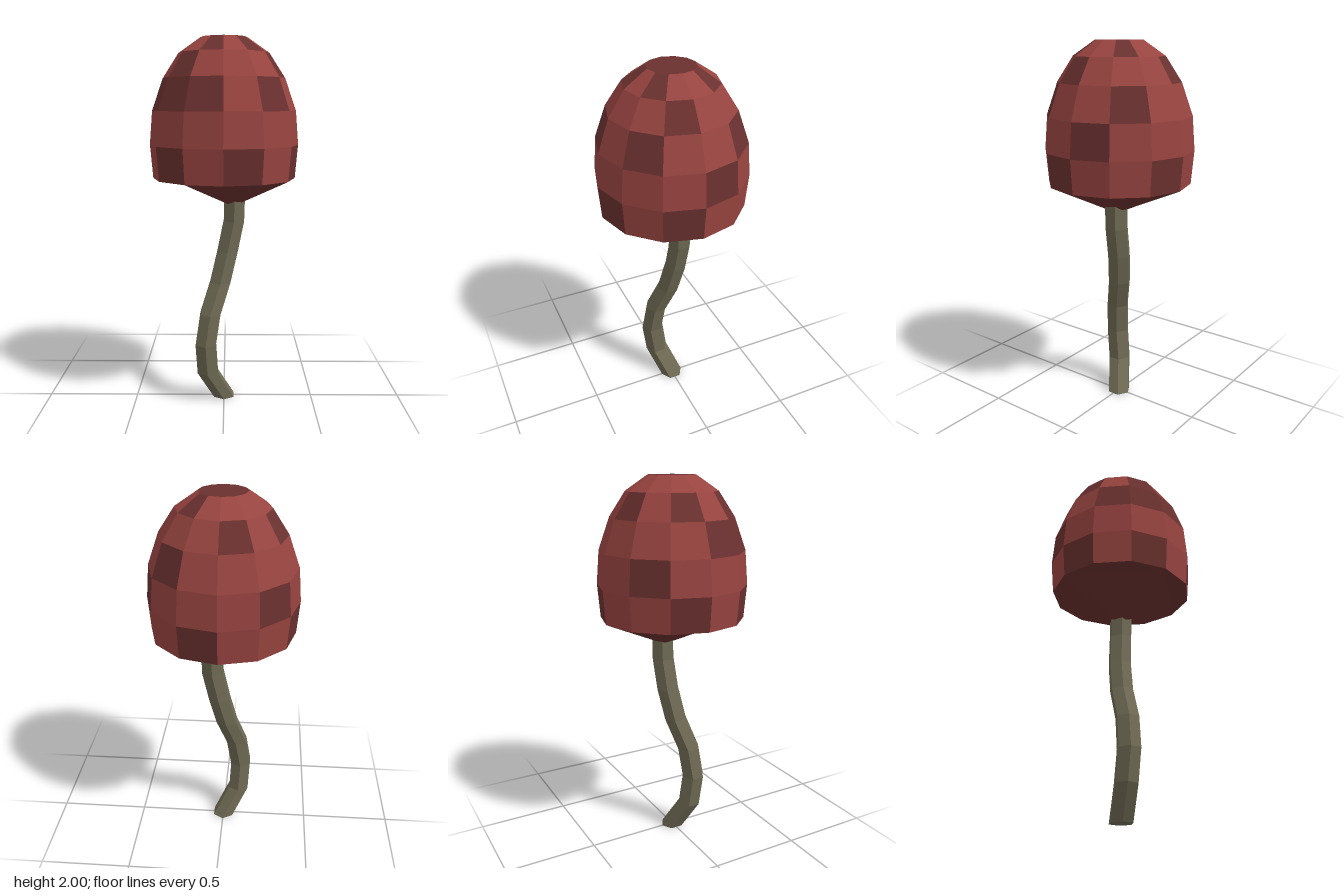
import * as THREE from 'three';

const SIDES = 12;
// Cap rings from top to rim: [radius, height]
const RINGS = [[0.124, 2], [0.24, 1.92], [0.325, 1.79], [0.385, 1.62], [0.4, 1.44], [0.385, 1.26]];
// Darker patches: ring rows per column, counted from +z towards +x
const DARK = [[4], [0, 2], [1, 4], [3], [0, 2], [4], [1], [3], [1, 4], [2], [1, 2, 4], [0, 2]];
// Centre line of the stem, evenly spaced in height: [x, z]
const STEM = [[0, 0], [-0.09, 0.063], [-0.1, 0.083], [-0.075, 0.065], [-0.02, 0.012], [0.02, -0.015], [0.055, -0.025], [0.06, -0.025]];
const STEM_HEIGHT = 1.19;

function material(color) {
  return new THREE.MeshStandardMaterial({ color, flatShading: true });
}

function ringPoint(row, column) {
  const [r, y] = RINGS[row];
  const a = (column / SIDES) * Math.PI * 2;
  return [r * Math.sin(a), y, r * Math.cos(a)];
}

function facets(name, points, mat) {
  const geo = new THREE.BufferGeometry();
  geo.setAttribute('position', new THREE.Float32BufferAttribute(points.flat(), 3));
  geo.computeVertexNormals();
  const mesh = new THREE.Mesh(geo, mat);
  mesh.name = name;
  return mesh;
}

function createCap() {
  const cap = new THREE.Group();
  cap.name = 'cap';
  const light = [], dark = [], top = [], under = [];

  // Domed wall, sorted into two tones
  for (let c = 0; c < SIDES; c++) {
    for (let row = 0; row < RINGS.length - 1; row++) {
      const a = ringPoint(row, c), b = ringPoint(row + 1, c);
      const d = ringPoint(row + 1, c + 1), e = ringPoint(row, c + 1);
      (DARK[c].includes(row) ? dark : light).push(a, b, d, a, d, e);
    }
    top.push([0, 2, 0], ringPoint(0, c), ringPoint(0, c + 1));
  }

  // Shallow faceted underside meeting the stem, with flat slivers at the rim
  const rim = RINGS.length - 1;
  const apex = [0.05, 1.1, -0.02];
  const corners = [2, 5, 6, 8, 11];
  corners.forEach((start, i) => {
    const end = corners[i + 1] ?? corners[0] + SIDES;
    under.push(apex, ringPoint(rim, end), ringPoint(rim, start));
    for (let c = start + 1; c < end; c++) {
      under.push(ringPoint(rim, start), ringPoint(rim, c + 1), ringPoint(rim, c));
    }
  });

  const red = material(0x984440), darkRed = material(0x6a312f);
  cap.add(
    facets('capWall', light, red),
    facets('capPatches', dark, darkRed),
    facets('capTop', top, darkRed),
    facets('capUnderside', under, darkRed)
  );
  return cap;
}

function createStem() {
  // Six-sided column with each level shifted along the bent centre line
  const steps = STEM.length - 1;
  const geo = new THREE.CylinderGeometry(0.065, 0.065, STEM_HEIGHT, 6, steps);
  geo.translate(0, STEM_HEIGHT / 2, 0);
  const pos = geo.attributes.position;
  for (let i = 0; i < pos.count; i++) {
    const [x, z] = STEM[Math.round((pos.getY(i) / STEM_HEIGHT) * steps)];
    pos.setX(i, pos.getX(i) + x);
    pos.setZ(i, pos.getZ(i) + z);
  }
  geo.computeVertexNormals();
  const stem = new THREE.Mesh(geo, material(0x6f6a54));
  stem.name = 'stem';
  return stem;
}

export function createModel() {
  const mushroom = new THREE.Group();
  mushroom.name = 'mushroom';
  mushroom.add(createCap(), createStem());
  return mushroom;
}
